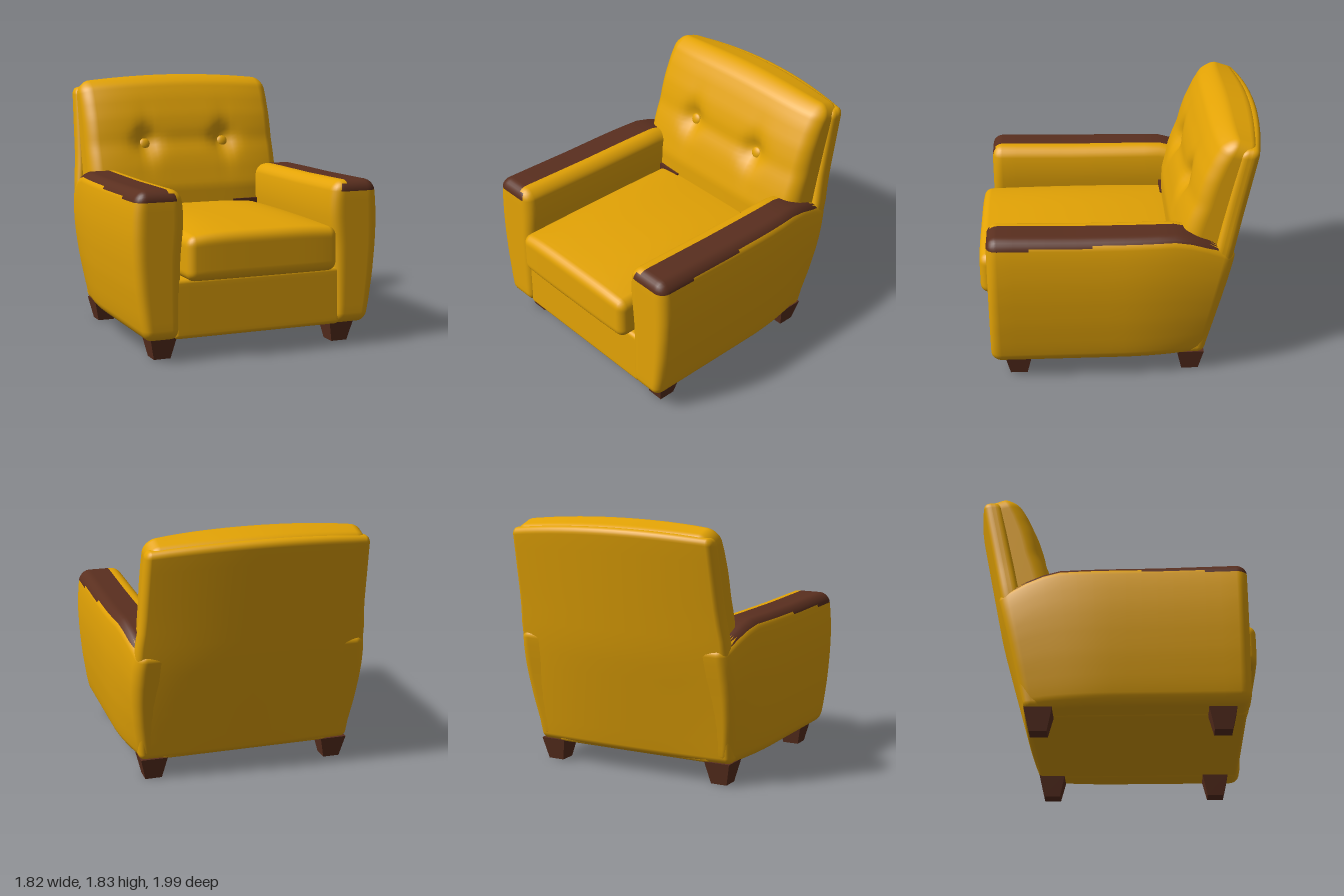
import * as THREE from 'three';
import { mergeVertices } from 'three/addons/utils/BufferGeometryUtils.js';

const leather = new THREE.MeshStandardMaterial({ color: 0xe3a305 });
leather.name = 'mustard leather';
const wood = new THREE.MeshStandardMaterial({ color: 0x5a2f1f });
wood.name = 'dark brown';

// Piecewise-linear lookup through [t, value] pairs.
function lookup(points, t) {
  if (t <= points[0][0]) return points[0][1];
  for (let i = 1; i < points.length; i++) {
    const [t0, v0] = points[i - 1], [t1, v1] = points[i];
    if (t <= t1) return v0 + (v1 - v0) * (t - t0) / (t1 - t0);
  }
  return points[points.length - 1][1];
}

// Rounded, finely divided block between two corners, reshaped by rule(p).
// Faces whose undeformed centre passes pick() take the brown material.
function padded(name, lo, hi, radius, { rule, pick, divisions = 20 } = {}) {
  const K = 0.3; // share of the divisions spent on the rounded edges
  const min = new THREE.Vector3(...lo), max = new THREE.Vector3(...hi);
  const half = max.clone().sub(min).multiplyScalar(0.5);
  const mid = max.clone().add(min).multiplyScalar(0.5);
  let geo = new THREE.BoxGeometry(2, 2, 2, divisions, divisions, divisions);
  geo.deleteAttribute('uv');
  geo.deleteAttribute('normal');
  geo = mergeVertices(geo, 1e-4);
  geo.clearGroups();
  const pos = geo.attributes.position;
  const p = new THREE.Vector3(), core = new THREE.Vector3();
  for (let i = 0; i < pos.count; i++) {
    p.fromBufferAttribute(pos, i);
    for (const a of ['x', 'y', 'z']) {
      const u = Math.abs(p[a]), s = Math.sign(p[a]), flat = half[a] - radius;
      core[a] = s * flat * Math.min(1, u / (1 - K));
      p[a] = u > 1 - K ? s * Math.tan((u - 1 + K) / K * Math.PI / 4) : 0;
    }
    p.normalize().multiplyScalar(radius).add(core).add(mid);
    pos.setXYZ(i, p.x, p.y, p.z);
  }

  let material = leather;
  if (pick) {
    const plain = [], marked = [], idx = geo.index.array, c = new THREE.Vector3();
    for (let i = 0; i < idx.length; i += 3) {
      c.set(0, 0, 0);
      for (let k = 0; k < 3; k++) c.add(p.fromBufferAttribute(pos, idx[i + k]));
      c.divideScalar(3);
      (pick(c) ? marked : plain).push(idx[i], idx[i + 1], idx[i + 2]);
    }
    geo.setIndex(plain.concat(marked));
    geo.addGroup(0, plain.length, 0);
    geo.addGroup(plain.length, marked.length, 1);
    material = [leather, wood];
  }

  if (rule) {
    for (let i = 0; i < pos.count; i++) {
      rule(p.fromBufferAttribute(pos, i));
      pos.setXYZ(i, p.x, p.y, p.z);
    }
  }
  geo.computeVertexNormals();
  const mesh = new THREE.Mesh(geo, material);
  mesh.name = name;
  return mesh;
}

// Bulging arm outline, sloping down and narrowing towards the rear.
const armOuter = [[0.15, 0.83], [0.3, 0.86], [0.5, 0.888], [0.7, 0.905], [0.85, 0.91], [1, 0.905], [1.1, 0.893], [1.16, 0.88]];
const armInner = [[0.15, 0.58], [0.7, 0.565], [0.9, 0.545], [1, 0.543], [1.1, 0.555], [1.16, 0.57]];
const armDrop = [[-0.75, 0.16], [-0.6, 0.085], [-0.5, 0.045], [-0.38, 0.015], [0.3, 0.012], [0.85, 0]];
function shapeArm(p) {
  const side = Math.sign(p.x), t = (Math.abs(p.x) - 0.55) / 0.35;
  const rear = Math.max(0, -p.z / 0.74);
  const inner = lookup(armInner, p.y), outer = lookup(armOuter, p.y) - 0.08 * rear * rear;
  p.x = side * (inner + t * (outer - inner));
  if (p.z < 0) p.z *= (0.595 + 0.2 * (p.y - 0.15)) / 0.74;
  p.y -= lookup(armDrop, p.z) * (p.y - 0.15);
}

// Brown arm cap: wraps over the front, narrower on the outer side further back.
const capEdge = [[0.2, 1.122], [0.21, 1.112], [0.64, 1.112], [0.65, 1.085]];
function isArmCap(c) {
  const inner = c.z > 0.895 ? 0.61 : 0.655;
  return c.y > lookup(capEdge, c.z) && Math.abs(c.x) > inner && c.z > -0.62;
}

// Reclined rear of the back, bowed backwards; x runs from -1 to 1.
function rearSurface(x, y) {
  const t = (y - 0.15) / 1.63;
  return -0.59 - 0.345 * t - 0.075 * (1 - x * x) * Math.min(1, 0.3 + t * 1.5);
}
const panelWidth = [[0.15, 0.775], [0.6, 0.81], [1, 0.825], [1.2, 0.8], [1.74, 0.78]];
function shapePanel(p) {
  const t = (p.y - 0.15) / 1.59, x = p.x;
  p.z += rearSurface(x, p.y);
  p.x *= lookup(panelWidth, p.y);
  p.y += 0.045 * (1 - x * x) * t * t;
}

// Front surface of the back cushion, pulled in around two buttons.
const buttonX = 0.32, buttonY = 1.32;
const backFront = [[0.75, -0.36], [1, -0.37], [1.15, -0.41], [1.35, -0.475], [1.5, -0.525], [1.63, -0.585], [1.72, -0.64], [1.8, -0.72]];
function backSurface(x, y) {
  const ax = Math.abs(x), dx = ax - buttonX, dy = y - buttonY;
  const dimple = 0.055 * Math.exp(-(dx * dx + dy * dy) / 0.008);
  const crease = 0.018 * Math.exp(-(dx * dx) / 0.002 - (dy * dy) / 0.03);
  const sag = 0.015 * Math.exp(-(dy * dy) / 0.004) * (ax < buttonX ? 1 : 0.5);
  return lookup(backFront, y) - 0.05 * Math.pow(ax / 0.77, 4) - dimple - crease - sag;
}
// The cushion reaches through to the rear panel, its top tilting backwards.
function shapeBackCushion(p) {
  const t = (p.y - 0.75) / 1.03, x = p.x / 0.77, depth = p.z / 0.3;
  const rear = rearSurface(x, p.y) + 0.012;
  p.z = rear + (backSurface(p.x, p.y) - rear) * depth;
  p.y += (0.045 * (1 - x * x) + 0.07 * (depth - 0.6)) * t * t;
}

// Seat cushion with a crowned top and softly bowed front.
function shapeSeat(p) {
  const cx = 1 - (p.x / 0.555) ** 4, cz = 1 - ((p.z - 0.3) / 0.7) ** 2;
  const t = (p.y - 0.55) / 0.3;
  if (t > 0) p.y += t * 0.055 * cx * (0.4 + 0.6 * Math.max(0, cz));
  if (p.z > 0.8) p.z += 0.01 * cx;
}

function makeLeg(x, z) {
  const r = Math.SQRT2;
  const geo = new THREE.CylinderGeometry(0.096 * r, 0.06 * r, 0.16, 4).rotateY(Math.PI / 4).toNonIndexed();
  geo.computeVertexNormals();
  const leg = new THREE.Mesh(geo, wood);
  leg.position.set(x, 0.08, z);
  leg.name = 'leg';
  return leg;
}

export function createModel() {
  const chair = new THREE.Group();
  chair.name = 'armchair';

  chair.add(padded('base', [-0.62, 0.15, -0.6], [0.62, 0.56, 0.9], 0.03));
  chair.add(padded('seatCushion', [-0.555, 0.55, -0.42], [0.555, 0.85, 0.985], 0.06, { rule: shapeSeat }));
  chair.add(padded('backPanel', [-1, 0.15, 0], [1, 1.74, 0.13], 0.05, { rule: shapePanel }));
  chair.add(padded('backCushion', [-0.77, 0.75, 0], [0.77, 1.78, 0.3], 0.09, { rule: shapeBackCushion, divisions: 40 }));

  for (const side of [-1, 1]) {
    const xs = [side * 0.55, side * 0.9].sort((a, b) => a - b);
    const name = side > 0 ? 'leftArm' : 'rightArm';
    chair.add(padded(name, [xs[0], 0.15, -0.74], [xs[1], 1.165, 0.92], 0.075, { rule: shapeArm, pick: isArmCap }));

    // Tufting button
    const button = new THREE.Mesh(new THREE.SphereGeometry(0.044, 16, 10), leather);
    button.scale.z = 0.5;
    button.rotation.x = -0.25;
    button.position.set(side * buttonX, buttonY, backSurface(buttonX, buttonY) + 0.015);
    button.name = 'button';
    chair.add(button);

    // Brown strip showing in the gap behind the seat cushion
    const strip = new THREE.Mesh(new THREE.BoxGeometry(0.2, 0.08, 0.04), wood);
    strip.position.set(side * 0.445, 0.845, -0.375);
    strip.name = 'seatGapStrip';
    chair.add(strip);

    chair.add(makeLeg(side * 0.672, 0.73), makeLeg(side * 0.672, -0.5));
  }
  return chair;
}
